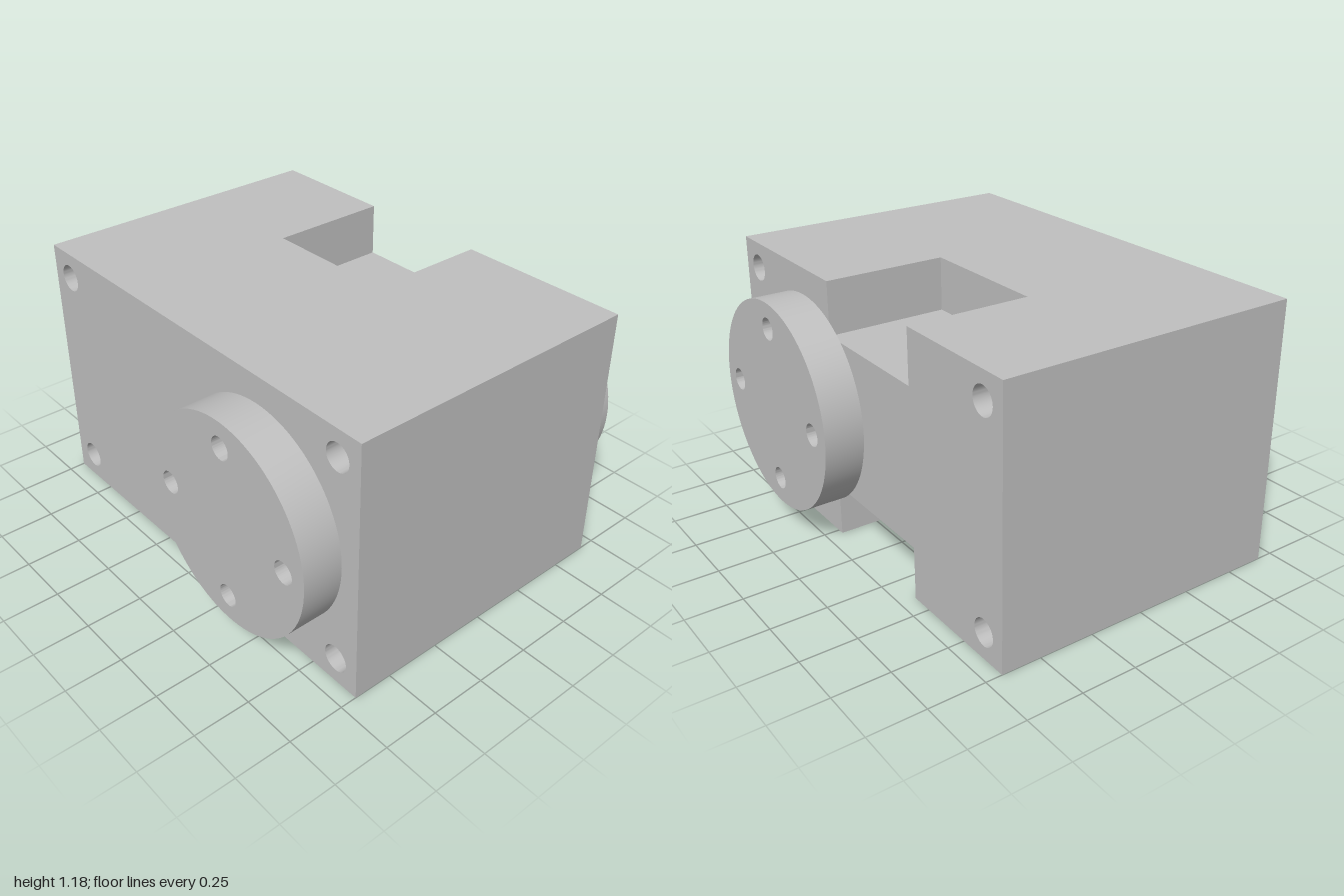
import * as THREE from 'three';
import { toCreasedNormals } from 'three/addons/utils/BufferGeometryUtils.js';

const H = 1.18, MID = H / 2;

function addHole(shape, u, v, r) {
  const hole = new THREE.Path();
  hole.absarc(u, v, r, 0, Math.PI * 2, true);
  shape.holes.push(hole);
}

// Extrudes a side profile (u = -z, v = y) along x, from x0 to x1
function extrudeX(shape, x0, x1, segments) {
  const g = new THREE.ExtrudeGeometry(shape, { depth: x1 - x0, bevelEnabled: false, curveSegments: segments });
  g.translate(0, 0, x0).rotateY(Math.PI / 2);
  return toCreasedNormals(g, 0.6);
}

// Block outline with the four corner bolt holes
function blockProfile(points) {
  const s = new THREE.Shape(points.map(([u, v]) => new THREE.Vector2(u, v)));
  for (const u of [-0.882, 0.882]) for (const v of [0.118, H - 0.118]) addHole(s, u, v, 0.06);
  return s;
}

export function createModel() {
  const model = new THREE.Group();
  const grey = new THREE.MeshStandardMaterial({ color: 0xc0c0c0, side: THREE.DoubleSide });
  grey.name = 'metal grey';
  const add = (parent, name, geometry) => {
    const m = new THREE.Mesh(geometry, grey);
    m.name = name;
    parent.add(m);
    return m;
  };

  // Housing: a plain half and a half with a pocket at top and bottom
  const plain = blockProfile([[-1, 0], [1, 0], [1, H], [-1, H]]);
  const n0 = -0.22, n1 = 0.4, nd = 0.238;
  const notched = blockProfile([
    [-1, 0], [n0, 0], [n0, nd], [n1, nd], [n1, 0], [1, 0],
    [1, H], [n1, H], [n1, H - nd], [n0, H - nd], [n0, H], [-1, H],
  ]);
  add(model, 'housing', extrudeX(plain, -0.677, 0.128, 24));
  add(model, 'notchedHousing', extrudeX(notched, 0.128, 0.677, 24));

  // Round flanges with four drilled holes each
  const R = 0.47, pitch = 0.353, r = 0.05, thick = 0.176;
  for (const side of [1, -1]) {
    const flange = new THREE.Group();
    flange.name = side > 0 ? 'leftFlange' : 'rightFlange';
    flange.position.set(side * 0.677, MID, 0.441);
    if (side < 0) flange.rotation.y = Math.PI;

    const disc = new THREE.Shape();
    disc.absarc(0, 0, R, 0, Math.PI * 2, false);
    for (let i = 0; i < 4; i++) {
      const a = i * Math.PI / 2, u = Math.cos(a) * pitch, v = Math.sin(a) * pitch;
      addHole(disc, u, v, r);
      // Conical drill point, apex towards the housing
      const tip = new THREE.ConeGeometry(r, 0.03, 32, 1, true);
      tip.rotateZ(Math.PI / 2).translate(0.035, v, -u);
      add(flange, 'drillPoint', tip);
    }
    add(flange, 'disc', extrudeX(disc, 0, thick, 48));
    model.add(flange);
  }
  return model;
}
